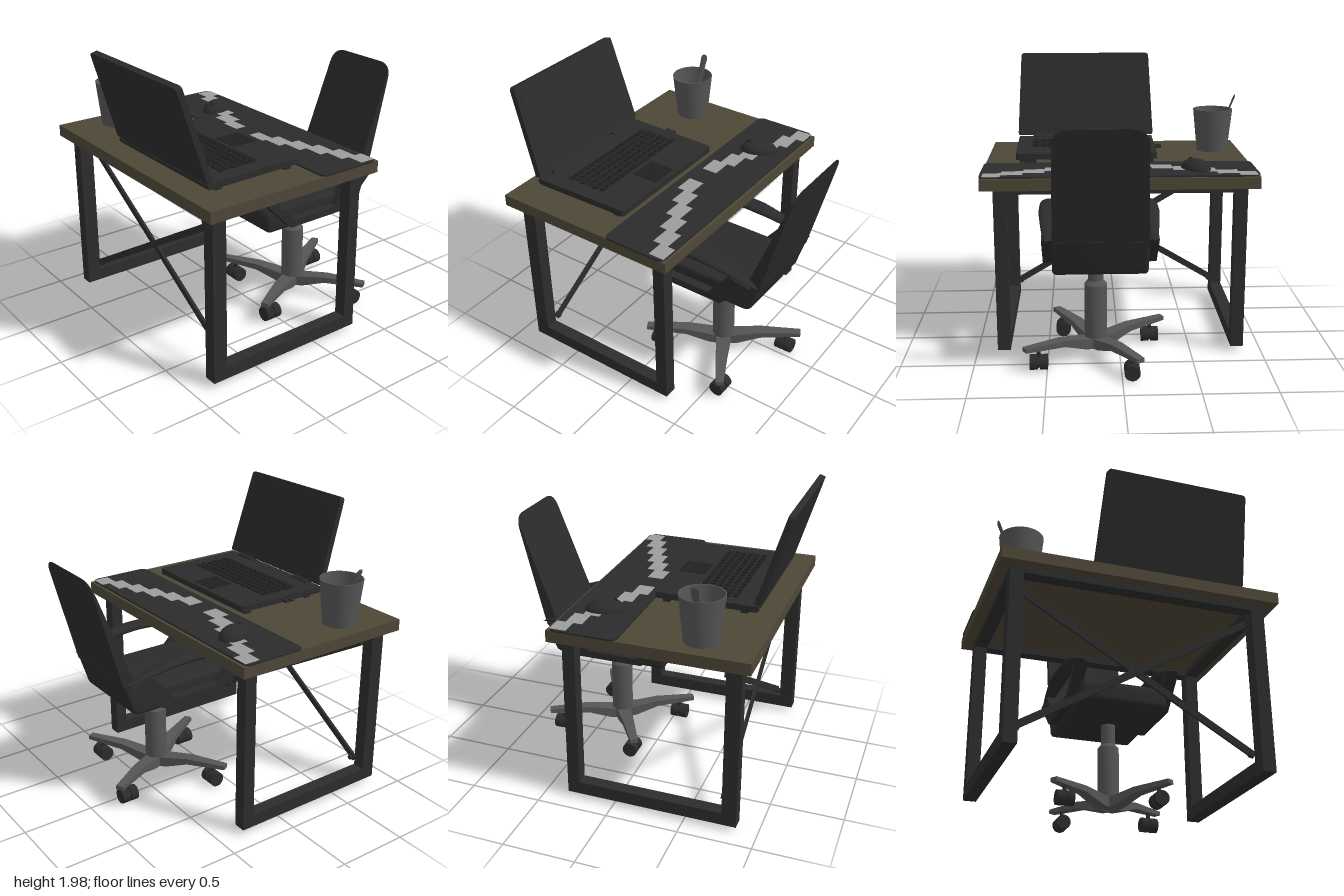
import * as THREE from 'three';
import { toCreasedNormals } from 'three/addons/utils/BufferGeometryUtils.js';
import { RoundedBoxGeometry } from 'three/addons/geometries/RoundedBoxGeometry.js';

const mat = (color) => new THREE.MeshStandardMaterial({ color, side: THREE.DoubleSide });
const WOOD = mat(0x4d4737), METAL = mat(0x2c2c2c), BLACK = mat(0x2b2b2b), KEY = mat(0x202020);
const GREY = mat(0x555555), LIGHT = mat(0x9c9c9c);

function add(parent, name, geo, material, x = 0, y = 0, z = 0) {
  const m = new THREE.Mesh(geo, material);
  m.name = name;
  m.position.set(x, y, z);
  parent.add(m);
  return m;
}
function group(parent, name, x = 0, y = 0, z = 0) {
  const g = new THREE.Group();
  g.name = name;
  g.position.set(x, y, z);
  parent.add(g);
  return g;
}
// Box given by its limits on each axis
function span(parent, name, material, [x0, x1], [y0, y1], [z0, z1]) {
  return add(parent, name, new THREE.BoxGeometry(x1 - x0, y1 - y0, z1 - z0), material,
    (x0 + x1) / 2, (y0 + y1) / 2, (z0 + z1) / 2);
}
// Moves every vertex by a rule
function warp(geo, rule) {
  const p = geo.attributes.position, v = new THREE.Vector3();
  for (let i = 0; i < p.count; i++) {
    rule(v.fromBufferAttribute(p, i));
    p.setXYZ(i, v.x, v.y, v.z);
  }
  geo.computeVertexNormals();
  return geo;
}
// Extrudes a (z, y) profile across x, centred on x = 0
function sideExtrude(shape, width, bevel) {
  const geo = new THREE.ExtrudeGeometry(shape, {
    depth: width - 2 * bevel, bevelEnabled: bevel > 0, bevelSize: bevel, bevelThickness: bevel,
    bevelOffset: -bevel, bevelSegments: 3, curveSegments: 8 });
  geo.translate(0, 0, bevel - width / 2).rotateY(-Math.PI / 2);
  return toCreasedNormals(geo, 0.6);
}
// Trapezoid with rounded corners; half widths at bottom and top
function plate(wBottom, wTop, y0, y1, rBottom, rTop) {
  const s = new THREE.Shape();
  s.moveTo(-wBottom + rBottom, y0);
  s.lineTo(wBottom - rBottom, y0);
  s.quadraticCurveTo(wBottom, y0, wBottom, y0 + rBottom);
  s.lineTo(wTop, y1 - rTop);
  s.quadraticCurveTo(wTop, y1, wTop - rTop, y1);
  s.lineTo(-wTop + rTop, y1);
  s.quadraticCurveTo(-wTop, y1, -wTop, y1 - rTop);
  s.lineTo(-wBottom, y0 + rBottom);
  s.quadraticCurveTo(-wBottom, y0, -wBottom + rBottom, y0);
  return s;
}
const extrude = (shape, depth) =>
  new THREE.ExtrudeGeometry(shape, { depth, bevelEnabled: false, curveSegments: 8 });

function buildDesk(root) {
  const desk = group(root, 'desk');
  span(desk, 'tabletop', WOOD, [-0.945, 0.935], [1.197, 1.277], [-0.405, 0.93]);
  // Closed rectangular leg frames
  for (const [x0, x1] of [[-0.873, -0.785], [0.763, 0.853]]) {
    span(desk, 'frontLeg', METAL, [x0, x1], [0.035, 1.197], [0.76, 0.86]);
    span(desk, 'backLeg', METAL, [x0, x1], [0.035, 1.197], [-0.33, -0.245]);
    span(desk, 'footBar', METAL, [x0, x1], [0.035, 0.125], [-0.245, 0.76]);
    span(desk, 'topBar', METAL, [x0, x1], [1.155, 1.197], [-0.245, 0.76]);
  }
  for (const z of [[0.77, 0.86], [-0.33, -0.245]])
    span(desk, 'crossRail', METAL, [-0.785, 0.763], [1.155, 1.197], z);
  // Crossed braces with bolts
  for (const s of [-1, 1]) {
    add(desk, 'brace', new THREE.BoxGeometry(1.82, 0.045, 0.018), METAL, -0.01, 0.64, 0.745 + s * 0.008)
      .rotation.z = s * 0.535;
    for (const y of [0.18, 1.1])
      add(desk, 'bolt', new THREE.CylinderGeometry(0.018, 0.018, 0.035, 12).rotateX(Math.PI / 2), METAL,
        -0.01 + s * 0.755, y, 0.745);
  }
  add(desk, 'centreBolt', new THREE.CylinderGeometry(0.016, 0.016, 0.04, 12).rotateX(Math.PI / 2), METAL, -0.01, 0.64, 0.745);
  // Desk mat with two stepped rows of light patches
  add(desk, 'mat', extrude(plate(0.945, 0.945, -0.07, 0.385, 0.05, 0.05), 0.012).rotateX(-Math.PI / 2), BLACK, -0.005, 1.277, 0);
  for (const s of [-1, 1])
    for (let i = 0; i < 6; i++) {
      const w = i === 5 ? 0.122 : 0.145;
      add(desk, 'matPatch', new THREE.BoxGeometry(w, 0.004, 0.112), LIGHT,
        -0.006 + s * (0.078 + 0.145 * i + w / 2), 1.289, -0.042 - 0.057 * i);
    }
}

function buildLaptop(root) {
  const laptop = group(root, 'laptop', 0.217, 0, 0);
  add(laptop, 'base', extrude(plate(0.515, 0.503, -0.79, -0.085, 0.03, 0.02), 0.042).rotateX(-Math.PI / 2), BLACK, 0, 1.307, 0);
  for (const x of [-0.42, 0.42]) for (const z of [0.16, 0.7])
    add(laptop, 'foot', new THREE.BoxGeometry(0.12, 0.032, 0.05), BLACK, x, 1.292, z);
  add(laptop, 'rearEdge', new THREE.CylinderGeometry(0.023, 0.023, 1.03, 6).rotateZ(Math.PI / 2), BLACK, 0, 1.33, 0.785);
  for (const x of [-0.318, 0.325])
    add(laptop, 'hinge', new THREE.CylinderGeometry(0.028, 0.028, 0.165, 12).rotateZ(Math.PI / 2), BLACK, x, 1.345, 0.775);
  // Lid leaning away from the user
  const lid = group(laptop, 'lid', 0, 1.335, 0.785);
  lid.rotation.x = 0.295;
  add(lid, 'lidShell', extrude(plate(0.523, 0.497, 0.025, 0.665, 0.015, 0.03), 0.042), BLACK, 0, 0, -0.021);
  add(lid, 'display', extrude(plate(0.49, 0.467, 0.06, 0.635, 0.005, 0.005), 0.003), BLACK, 0, 0, -0.024);
  // Keyboard and touchpad
  for (let r = 0; r < 6; r++)
    for (let c = 0; c < 15; c++) {
      const space = r === 0 && c > 4 && c < 9;
      if (space && c > 5) continue;
      add(laptop, 'key', new THREE.BoxGeometry(space ? 0.208 : 0.042, 0.01, 0.036), KEY,
        -0.4 + c * 0.055 + (space ? 0.083 : 0) + (r % 2) * 0.01, 1.352, 0.36 + r * 0.051);
    }
  add(laptop, 'touchpad', new THREE.BoxGeometry(0.2, 0.004, 0.145), KEY, 0.005, 1.35, 0.235);
  for (const x of [-0.047, 0.057])
    add(laptop, 'touchpadButton', new THREE.BoxGeometry(0.095, 0.006, 0.035), KEY, x, 1.35, 0.138);
  for (const z of [0.445, 0.49])
    add(laptop, 'plug', new THREE.BoxGeometry(0.06, 0.02, 0.03), BLACK, -0.53, 1.328, z);
}

function buildSmallItems(root) {
  // Cup with an open top
  const cup = group(root, 'cup', -0.744, 1.277, 0.56);
  const profile = [[0, 0], [0.115, 0], [0.148, 0.315], [0.14, 0.315], [0.108, 0.03], [0, 0.03]]
    .map(([r, y]) => new THREE.Vector2(r, y));
  add(cup, 'cupBody', toCreasedNormals(new THREE.LatheGeometry(profile, 32), 0.6), GREY);
  const spoon = group(cup, 'spoon', -0.01, 0.035, 0);
  spoon.rotation.z = 0.385;
  add(spoon, 'spoonHandle', new THREE.CylinderGeometry(0.027, 0.012, 0.34, 12).scale(0.2, 1, 1), GREY, 0, 0.22, 0);
  add(spoon, 'spoonTip', new THREE.SphereGeometry(0.027, 12, 8).scale(0.2, 1, 1), GREY, 0, 0.39, 0);
  add(spoon, 'spoonBowl', new THREE.SphereGeometry(0.035, 14, 10).scale(0.35, 1.4, 1), GREY, 0, 0.045, 0);
  // Mouse
  const mouse = group(root, 'mouse', -0.533, 1.287, -0.168);
  mouse.rotation.y = 0.43;
  add(mouse, 'mouseBody', warp(new THREE.SphereGeometry(1, 28, 18), (v) => {
    v.set(v.x * 0.09, Math.max(v.y, 0) * 0.072, v.z * 0.133);
  }), BLACK);
  add(mouse, 'mouseWheel', new THREE.CylinderGeometry(0.016, 0.016, 0.014, 14).rotateZ(Math.PI / 2), KEY, 0, 0.054, 0.07);
}

function buildChair(root) {
  const chair = group(root, 'chair', 0.14, 0, 0);
  // Seat cushion turning up into the backrest
  const s = new THREE.Shape();
  s.moveTo(0.08, 0.705);
  s.lineTo(-0.66, 0.705);
  s.quadraticCurveTo(-0.72, 0.705, -0.735, 0.75);
  s.lineTo(-0.8, 0.955);
  s.lineTo(-0.727, 1.0);
  s.quadraticCurveTo(-0.69, 0.868, -0.6, 0.866);
  s.lineTo(0.05, 0.866);
  s.quadraticCurveTo(0.115, 0.866, 0.115, 0.8);
  s.lineTo(0.115, 0.74);
  s.quadraticCurveTo(0.115, 0.705, 0.08, 0.705);
  add(chair, 'seat', sideExtrude(s, 0.625, 0.025), BLACK);
  // Reclined backrest, thinning towards the top
  const back = warp(extrude(plate(0.31, 0.295, 0.93, 1.71, 0.01, 0.11), 1), (v) => {
    const front = -0.727 - (v.y - 1.005) * 0.38, rear = -0.8 - (v.y - 0.96) * 0.268;
    v.z = rear + (front - rear) * v.z;
  });
  add(chair, 'backrest', toCreasedNormals(back, 0.5), BLACK);
  // Armrests: arched pads on angled brackets
  const bracket = new THREE.Shape([[0.17, 0.95], [-0.035, 0.74], [-0.53, 0.74], [-0.76, 0.96], [-0.6, 0.99],
    [-0.44, 0.79], [-0.07, 0.79], [0.075, 0.93], [0.06, 0.99]].map(([z, y]) => new THREE.Vector2(z, y)));
  for (const side of [-1, 1]) {
    const arm = group(chair, side > 0 ? 'leftArmrest' : 'rightArmrest', side * 0.345, 0, 0);
    const pad = new THREE.CylinderGeometry(1, 1, 1, 18, 40).rotateX(Math.PI / 2);
    add(arm, 'armPad', warp(pad, (v) => {
      const u = 0.5 - v.z;
      const k = Math.sqrt(Math.max(0, Math.min(1, u / 0.1))) * Math.sqrt(Math.max(0, Math.min(1, (1 - u) / 0.4)));
      v.set(v.x * 0.061 * k, 0.96 + 0.09 * Math.sin(Math.PI * u) + v.y * 0.03 * k, 0.2 - u);
    }), BLACK);
    add(arm, 'armBracket', sideExtrude(bracket, 0.085, 0), BLACK, -side * 0.01);
  }
  // Gas column
  const stand = group(chair, 'stand', 0.026, 0, -0.346);
  const column = [[0, 0.075], [0.078, 0.075], [0.078, 0.525], [0.053, 0.555], [0.053, 0.71]]
    .map(([r, y]) => new THREE.Vector2(r, y));
  add(stand, 'column', toCreasedNormals(new THREE.LatheGeometry(column, 28), 0.5), GREY);
  // Four cranked legs with twin-wheel casters
  const leg = new THREE.Shape([[0.03, 0.07], [0.1, 0.075], [0.27, 0.13], [0.56, 0.145], [0.56, 0.175],
    [0.27, 0.175], [0.03, 0.14]].map(([r, y]) => new THREE.Vector2(r, y)));
  const legGeo = toCreasedNormals(warp(extrude(leg, 1), (v) => {
    v.z = (v.z - 0.5) * (0.11 - 0.1 * v.x);
  }), 0.4);
  for (let i = 0; i < 4; i++) {
    const g = group(stand, 'baseLeg', 0, 0, 0);
    g.rotation.y = i * Math.PI / 2;
    add(g, 'legArm', legGeo, GREY).rotation.y = 0.53;
    const caster = group(g, 'caster', 0.39, 0.053, -0.232);
    add(caster, 'casterStem', new THREE.CylinderGeometry(0.014, 0.014, 0.1, 10), BLACK, 0, 0.05, 0);
    add(caster, 'casterHub', new THREE.CylinderGeometry(0.04, 0.04, 0.1, 16).rotateZ(Math.PI / 2), BLACK);
    for (const x of [-0.034, 0.034])
      add(caster, 'casterWheel', new THREE.CylinderGeometry(0.053, 0.053, 0.054, 20).rotateZ(Math.PI / 2), BLACK, x);
  }
}

export function createModel() {
  const root = new THREE.Group();
  root.name = 'workstation';
  buildDesk(root);
  buildLaptop(root);
  buildSmallItems(root);
  buildChair(root);
  return root;
}
